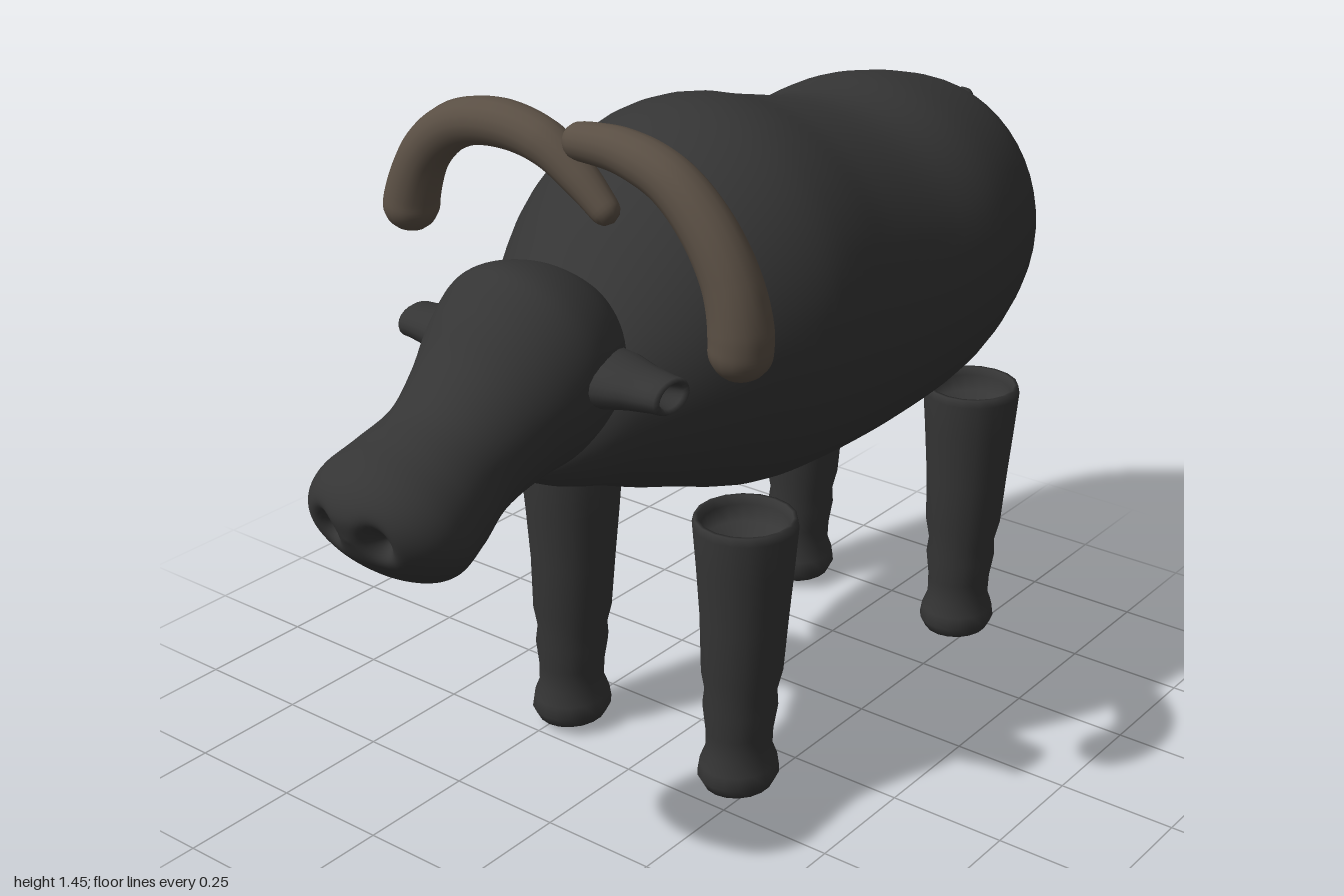
import * as THREE from 'three';
import { mergeVertices } from 'three/addons/utils/BufferGeometryUtils.js';

const hide = new THREE.MeshStandardMaterial({ color: 0x353535 });
hide.name = 'darkHide';
const horn = new THREE.MeshStandardMaterial({ color: 0x5a4f44 });
horn.name = 'brownHorn';

// Smooth skin through elliptical sections [z, y, halfHeight, halfWidth]; tilt leans the sections
function loft(sections, rings, sides, tilt = 0) {
  const line = new THREE.CatmullRomCurve3(
    sections.map(([z, y, h]) => new THREE.Vector3(z, y, h)), false, 'catmullrom');
  const width = new THREE.CatmullRomCurve3(
    sections.map((s) => new THREE.Vector3(s[3], 0, 0)), false, 'catmullrom');
  const pos = [], index = [];
  for (let i = 0; i <= rings; i++) {
    const p = line.getPoint(i / rings), w = Math.max(0, width.getPoint(i / rings).x);
    const h = Math.max(0, p.z);
    for (let j = 0; j < sides; j++) {
      const a = (j / sides) * Math.PI * 2, s = h * Math.sin(a);
      pos.push(w * Math.cos(a), p.y + s * Math.cos(tilt), p.x + s * Math.sin(tilt));
      if (i === rings) continue;
      const k = (j + 1) % sides, r = i * sides;
      index.push(r + j, r + k, r + sides + j, r + k, r + sides + k, r + sides + j);
    }
  }
  let geo = new THREE.BufferGeometry();
  geo.setAttribute('position', new THREE.Float32BufferAttribute(pos, 3));
  geo.setIndex(index);
  geo = mergeVertices(geo, 1e-4);
  geo.computeVertexNormals();
  return geo;
}

// Round-ended tube whose radius follows a list of values along the path
function taperedTube(points, radii, steps = 90) {
  const curve = new THREE.CatmullRomCurve3(points.map((p) => new THREE.Vector3(...p)));
  const sides = 16, length = curve.getLength();
  let geo = new THREE.TubeGeometry(curve, steps, 1, sides);
  const pos = geo.attributes.position, v = new THREE.Vector3();
  for (let i = 0; i <= steps; i++) {
    const u = i / steps, c = curve.getPointAt(u);
    const f = u * (radii.length - 1), n = Math.min(Math.floor(f), radii.length - 2);
    let r = THREE.MathUtils.lerp(radii[n], radii[n + 1], f - n);
    const d = Math.min(u, 1 - u) * length;
    if (d < r) r *= Math.sqrt(1 - (1 - d / r) ** 2);
    for (let j = 0; j <= sides; j++) {
      const k = i * (sides + 1) + j;
      v.fromBufferAttribute(pos, k).sub(c).multiplyScalar(r).add(c);
      pos.setXYZ(k, v.x, v.y, v.z);
    }
  }
  geo.deleteAttribute('uv');
  geo.deleteAttribute('normal');
  geo = mergeVertices(geo, 1e-4);
  geo.computeVertexNormals();
  return geo;
}

const lathe = (profile, sides) =>
  new THREE.LatheGeometry(profile.map(([r, y]) => new THREE.Vector2(r, y)), sides);

export function createModel() {
  const model = new THREE.Group();
  model.name = 'horned ox';
  const add = (name, geo, mat) => {
    const mesh = new THREE.Mesh(geo, mat);
    mesh.name = name;
    model.add(mesh);
    return mesh;
  };

  // Body with shoulder hump, rounded rump and blunt chest
  add('body', loft([
    [-0.99, 0.97, 0, 0], [-0.982, 0.97, 0.09, 0.08], [-0.95, 0.97, 0.18, 0.16],
    [-0.9, 0.97, 0.245, 0.23], [-0.8, 0.965, 0.305, 0.302], [-0.6, 0.958, 0.357, 0.362],
    [-0.4, 0.945, 0.367, 0.37], [-0.2, 0.965, 0.39, 0.375], [-0.05, 0.99, 0.405, 0.382],
    [0.07, 1.0, 0.391, 0.377], [0.2, 0.998, 0.342, 0.335], [0.3, 0.975, 0.285, 0.285],
    [0.4, 0.94, 0.21, 0.225], [0.49, 0.905, 0.145, 0.175], [0.55, 0.88, 0.09, 0.12],
    [0.58, 0.865, 0.045, 0.06], [0.588, 0.86, 0, 0]], 80, 48), hide);

  // Head, narrowing behind a rounded muzzle
  const head = loft([
    [0.33, 1.07, 0, 0], [0.345, 1.065, 0.075, 0.07], [0.41, 1.055, 0.155, 0.145],
    [0.5, 1.035, 0.195, 0.187], [0.58, 0.99, 0.183, 0.182], [0.66, 0.945, 0.15, 0.155],
    [0.74, 0.9, 0.133, 0.138], [0.82, 0.862, 0.14, 0.153], [0.89, 0.838, 0.14, 0.163],
    [0.945, 0.832, 0.11, 0.138], [0.985, 0.835, 0.058, 0.08], [0.998, 0.84, 0, 0]],
  110, 72, 0.42);
  // Nostril hollows
  const hp = head.attributes.position;
  for (let i = 0; i < hp.count; i++) {
    const x = Math.abs(hp.getX(i)) - 0.06, y = hp.getY(i) - 0.845, z = hp.getZ(i);
    if (z > 0.9) hp.setZ(i, z - 0.045 * Math.exp(-(x * x / 0.0006 + y * y / 0.0009)));
  }
  head.computeVertexNormals();
  add('head', head, hide);

  // Ears: flattened cones with hollow tips
  for (const side of [1, -1]) {
    const ear = add(side > 0 ? 'leftEar' : 'rightEar', lathe([
      [0.055, 0.12], [0.05, 0.19], [0.04, 0.24], [0.034, 0.29], [0.033, 0.31],
      [0.028, 0.318], [0.022, 0.31], [0.018, 0.28], [0, 0.265]], 20), hide);
    ear.rotation.z = -side * Math.PI / 2;
    ear.scale.z = 1.55;
    ear.position.set(0, 1.018, 0.49);
  }

  // Horns arching outward, the right one crossing the middle
  add('rightHorn', taperedTube([
    [-0.405, 1.155, 0.4], [-0.395, 1.23, 0.4], [-0.35, 1.325, 0.4], [-0.27, 1.39, 0.4],
    [-0.16, 1.413, 0.4], [-0.05, 1.395, 0.4], [0.03, 1.345, 0.4], [0.11, 1.275, 0.4]],
  [0.058, 0.053, 0.048, 0.046, 0.046, 0.044, 0.036, 0.026]), horn);
  add('leftHorn', taperedTube([
    [0, 1.41, 0.4], [0.06, 1.415, 0.4], [0.14, 1.412, 0.4], [0.24, 1.38, 0.4],
    [0.32, 1.31, 0.4], [0.375, 1.22, 0.4], [0.396, 1.13, 0.4], [0.39, 1.042, 0.4]],
  [0.034, 0.04, 0.046, 0.049, 0.052, 0.055, 0.06, 0.06]), horn);

  // Four legs with open, hollowed tops, knees and hooves
  const legProfile = [
    [0, 0.005], [0.04, 0.008], [0.07, 0.024], [0.082, 0.048], [0.078, 0.075],
    [0.067, 0.105], [0.068, 0.15], [0.076, 0.205], [0.073, 0.24], [0.083, 0.285],
    [0.09, 0.4], [0.1, 0.52], [0.107, 0.605], [0.103, 0.622], [0.095, 0.622],
    [0.088, 0.605], [0.082, 0.57], [0, 0.555]];
  for (const [end, z] of [['front', 0.145], ['back', -0.7]]) {
    for (const side of [1, -1]) {
      const geo = lathe(legProfile, 18);
      // Hooves reach slightly forward
      const p = geo.attributes.position;
      for (let i = 0; i < p.count; i++) {
        const low = 1 - THREE.MathUtils.smoothstep(p.getY(i), 0.04, 0.5);
        p.setZ(i, p.getZ(i) * (1 + 0.1 * low) + 0.017 * low);
      }
      add(end + (side > 0 ? 'Left' : 'Right') + 'Leg', geo, hide)
        .position.set(side * 0.225 - 0.004, 0, z);
    }
  }

  // Tail hugging the rump, ending in a tuft
  add('tail', taperedTube([
    [0, 1.205, -0.968], [0, 1.1, -0.968], [0, 0.97, -0.965], [0, 0.84, -0.958],
    [0, 0.7, -0.948], [0, 0.55, -0.943]],
  [0.027, 0.026, 0.025, 0.022, 0.018, 0.013, 0.014, 0.028, 0.045, 0.04]), hide);

  return model;
}
